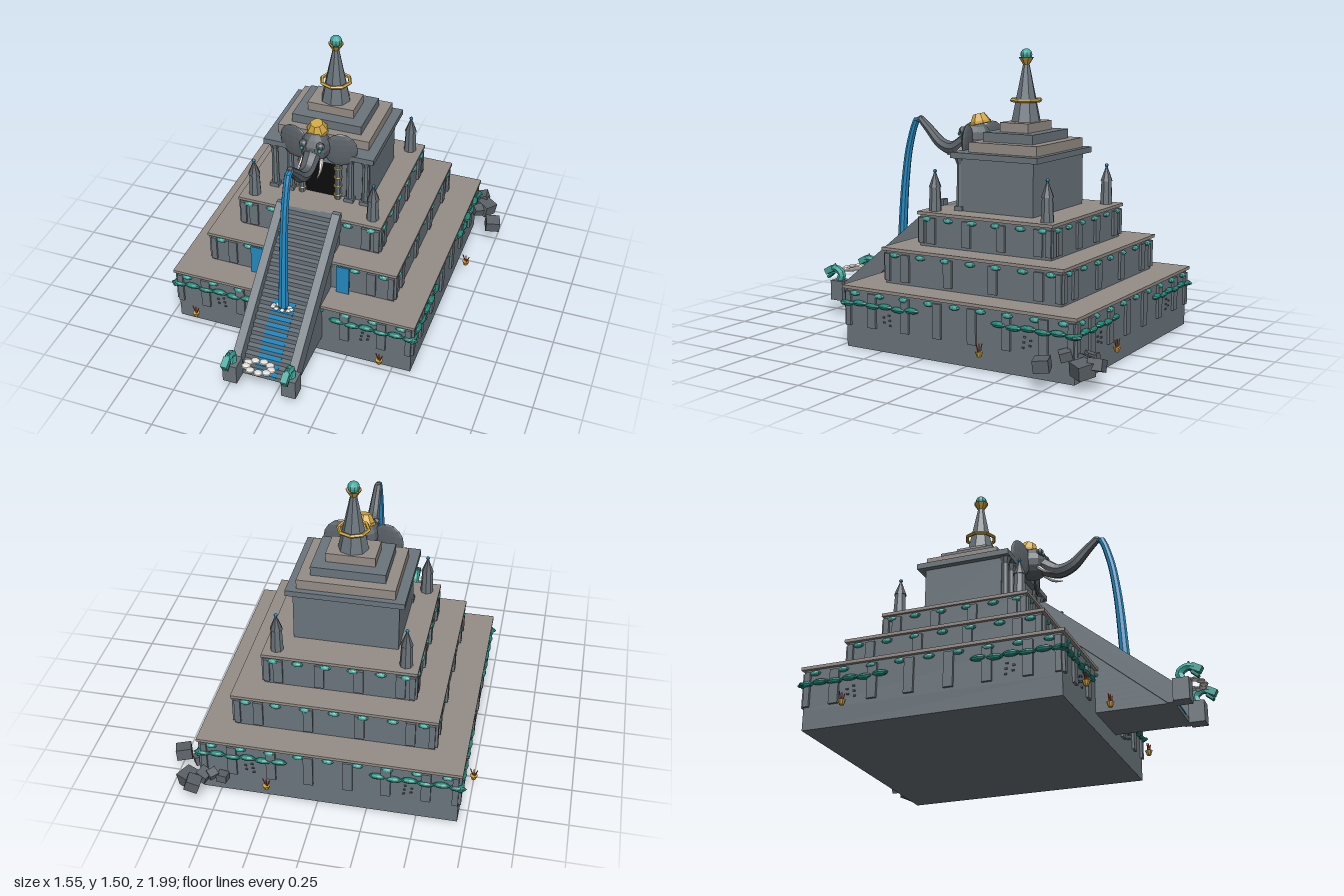
import * as THREE from 'three';

const mat = (name, color, side = THREE.FrontSide) => {
  const m = new THREE.MeshStandardMaterial({ color, side });
  m.name = name;
  return m;
};

export function createModel() {
  const stone = mat('stone', 0x6b757c), sand = mat('weathered top', 0x968d86);
  const dark = mat('dark stone', 0x5b6268), water = mat('water', 0x2389c0);
  const gold = mat('gold', 0xd2a640, THREE.DoubleSide), teal = mat('lotus teal', 0x3fa59b);
  const vine = mat('vine green', 0x1f8577), white = mat('foam and ivory', 0xeeeae4);
  const black = mat('doorway black', 0x0c0c0c), red = mat('incense red', 0xb8452c);

  const model = new THREE.Group();
  model.name = 'terracedTemple';
  const CX = -0.055, CZ = -0.185;

  // Faceted mesh helper
  const add = (name, geo, m, x, y, z, parent = model) => {
    const g = geo.index ? geo.toNonIndexed() : geo;
    g.computeVertexNormals();
    const mesh = new THREE.Mesh(g, m);
    mesh.name = name;
    mesh.position.set(x, y, z);
    parent.add(mesh);
    return mesh;
  };
  const box = (name, w, h, d, m, x, y, z, parent) => add(name, new THREE.BoxGeometry(w, h, d), m, x, y, z, parent);
  const slab = (name, w, d, y0, y1, m, x = CX, z = CZ, parent = model) =>
    box(name, w, y1 - y0, d, m, x, (y0 + y1) / 2, z, parent);
  const cyl = (name, rt, rb, y0, y1, n, m, x, z, parent) =>
    add(name, new THREE.CylinderGeometry(rt, rb, y1 - y0, n), m, x, (y0 + y1) / 2, z, parent);
  const blob = (name, rx, ry, rz, m, x, y, z, parent, w = 8, h = 6) =>
    add(name, new THREE.SphereGeometry(1, w, h).scale(rx, ry, rz), m, x, y, z, parent);
  const ring = (name, r, t, n, m, x, y, z) =>
    add(name, new THREE.TorusGeometry(r, t, 5, n).rotateX(Math.PI / 2), m, x, y, z);
  // Tube with a radius that runs from r0 to r1
  const taperTube = (name, pts, r0, r1, seg, sides, m, parent) => {
    const curve = new THREE.CatmullRomCurve3(pts.map(p => new THREE.Vector3(...p)));
    const g = new THREE.TubeGeometry(curve, seg, 1, sides);
    const p = g.attributes.position, v = new THREE.Vector3();
    for (let i = 0; i < p.count; i++) {
      const t = Math.floor(i / (sides + 1)) / seg, c = curve.getPointAt(t);
      v.fromBufferAttribute(p, i).sub(c).multiplyScalar(r0 + (r1 - r0) * t).add(c);
      p.setXYZ(i, v.x, v.y, v.z);
    }
    const mesh = add(name, g, m, 0, 0, 0, parent);
    for (const [q, r] of [[pts[0], r0], [pts[pts.length - 1], r1]])
      blob(name + 'End', r, r, r, m, ...q, parent, sides, 4);
    return mesh;
  };

  // Plinth and three terraces, with pilasters, lotuses and vines on all four sides
  slab('plinth', 1.302, 1.302, 0, 0.1, stone);
  const tiers = [
    { y0: 0.1, y1: 0.32, half: 0.651, top: 0.668, posts: [0.1, 0.29, 0.49, 0.635], lotus: [0, 0.148, 0.296, 0.445, 0.595] },
    { y0: 0.32, y1: 0.505, half: 0.507, top: 0.523, posts: [0.13, 0.385, 0.492], lotus: [0, 0.145, 0.295, 0.45] },
    { y0: 0.505, y1: 0.683, half: 0.38, top: 0.393, posts: [0.1, 0.31, 0.368], lotus: [0.07, 0.21, 0.335] },
  ];
  tiers.forEach((t, i) => {
    slab('terrace' + i, 2 * t.half, 2 * t.half, t.y0, t.y1 - 0.016, stone);
    slab('terraceTop' + i, 2 * t.top, 2 * t.top, t.y1 - 0.016, t.y1, sand);
    for (let s = 0; s < 4; s++) {
      const face = new THREE.Group();
      face.name = `terraceSide${i}_${s}`;
      face.position.set(CX, 0, CZ);
      face.rotation.y = s * Math.PI / 2;
      model.add(face);
      for (const sx of [-1, 1]) {
        for (const o of t.posts) slab('pilaster', o > t.half - 0.03 ? 0.03 : 0.048, 0.02, t.y0 + 0.015, t.y1 - 0.03, stone, sx * o, t.half + 0.003, face);
        for (const o of t.lotus) if (o || sx > 0) blob('lotus', 0.03, 0.013, 0.014, teal, sx * o, t.y1 - 0.037, t.half + 0.006, face);
        if (i === 0) for (let k = 0; k < 6; k++)
          blob('vine', 0.044, 0.015, 0.018, vine, sx * (0.25 + k * 0.079), 0.235 - (k % 2) * 0.006, t.half + 0.008, face);
        // Chips in the lower wall
        if (i === 0) for (let k = 0; k < 5; k++)
          box('chip', 0.012, 0.008, 0.008, dark, sx * (0.38 + (k * 0.037) % 0.07), 0.14 + k * 0.013, t.half + 0.002, face);
      }
    }
  });
  for (const s of [-1, 1]) box('waterBanner', 0.07, 0.17, 0.009, water, CX + s * 0.237, 0.407, 0.348);

  // Shrine and stepped roof
  slab('shrine', 0.535, 0.42, 0.683, 0.955, stone, CX, -0.19);
  slab('shrineCornice', 0.597, 0.503, 0.955, 0.985, stone);
  slab('roofStep', 0.495, 0.393, 0.985, 1.036, sand, CX, -0.21);
  slab('roofStep', 0.378, 0.29, 1.036, 1.084, stone, CX, -0.207);
  slab('roofStep', 0.25, 0.165, 1.084, 1.132, sand, CX, -0.207);
  box('doorway', 0.162, 0.212, 0.009, black, CX, 0.789, 0.023);
  box('lintel', 0.25, 0.045, 0.03, stone, CX, 0.92, 0.03);
  for (const s of [-1, 1]) {
    cyl('doorColumn', 0.018, 0.018, 0.683, 0.9, 8, stone, CX + s * 0.1, 0.038);
    for (const y of [0.71, 0.765, 0.82, 0.875]) ring('columnBand', 0.019, 0.005, 8, gold, CX + s * 0.1, y, 0.038);
    for (const o of [0.165, 0.25]) {
      cyl('shrineColumn', 0.018, 0.021, 0.683, 0.92, 8, stone, CX + s * o, 0.035);
      cyl('columnCapital', 0.032, 0.018, 0.92, 0.955, 8, stone, CX + s * o, 0.035);
      slab('columnBase', 0.05, 0.05, 0.683, 0.705, stone, CX + s * o, 0.035);
    }
  }

  // Spire
  cyl('spire', 0.014, 0.078, 1.132, 1.44, 8, stone, CX, -0.207);
  ring('spireRing', 0.077, 0.01, 8, gold, CX, 1.241, -0.207);
  add('spireCrown', new THREE.CylinderGeometry(0.04, 0.012, 0.045, 8, 1, true), gold, CX, 1.437, -0.207);
  blob('spireOrb', 0.031, 0.031, 0.031, teal, CX, 1.473, -0.207, model, 10, 8);

  // Corner turrets
  for (const sx of [-1, 1]) for (const z of [-0.512, 0.14]) {
    const x = CX + sx * 0.326;
    cyl('turret', 0.028, 0.034, 0.683, 0.805, 8, stone, x, z);
    cyl('turretCap', 0.005, 0.033, 0.805, 0.88, 8, dark, x, z);
    blob('turretOrb', 0.01, 0.01, 0.01, water, x, 0.887, z);
  }

  // Stairway with sloping rails
  const N = 22, rise = (0.683 - 0.09) / N;
  for (let i = 0; i < N; i++) {
    const front = 0.85 - 0.63 * i / (N - 1), y = 0.09 + i * rise;
    slab('step', 0.33, front - 0.15, y, y + rise, stone, CX, (front + 0.15) / 2);
    if (i < 10) box('wetStep', 0.12, 0.009, 0.03, water, CX, y + rise - 0.003, front - 0.0125);
  }
  for (const s of [-1, 1]) {
    const side = new THREE.Shape([[0.19, 0.715], [0.215, 0.715], [0.86, 0.185], [0.86, 0.09], [0.82, 0.09], [0.19, 0.62]].map(p => new THREE.Vector2(...p)));
    const g = new THREE.ExtrudeGeometry(side, { depth: 0.044, bevelEnabled: false }).translate(0, 0, -0.022).rotateY(-Math.PI / 2);
    add('stairRail', g, stone, CX + s * 0.152, 0, 0);
    const x = CX + s * 0.158;
    slab('stairPost', 0.076, 0.08, 0.09, 0.2, stone, x, 0.89);
    // Serpent guardian on the post
    taperTube('guardianBody', [[x, 0.2, 0.89], [x, 0.235, 0.88], [x, 0.262, 0.915], [x, 0.255, 0.95]], 0.024, 0.018, 8, 6, teal);
    box('guardianHead', 0.034, 0.034, 0.055, teal, x, 0.25, 0.962).rotation.x = 0.5;
    box('guardianJaw', 0.028, 0.014, 0.045, vine, x, 0.222, 0.955).rotation.x = 0.7;
    cyl('guardianCrest', 0.002, 0.016, 0.265, 0.292, 5, teal, x, 0.925);
  }

  // Elephant head spouting water
  const elephant = new THREE.Group();
  elephant.name = 'elephantHead';
  elephant.position.x = CX;
  model.add(elephant);
  blob('head', 0.078, 0.088, 0.085, dark, 0, 1.03, 0.095, elephant, 10, 8);
  taperTube('trunk', [[0, 1.01, 0.15], [0, 0.965, 0.235], [0, 0.985, 0.31], [0, 1.06, 0.39], [0, 1.112, 0.445]], 0.046, 0.02, 14, 8, dark, elephant);
  for (const s of [-1, 1]) {
    blob('ear', 0.088, 0.096, 0.016, dark, s * 0.125, 1.015, 0.07, elephant, 12, 8).rotation.y = s * 0.25;
    blob('brow', 0.024, 0.02, 0.02, dark, s * 0.045, 1.07, 0.15, elephant);
    blob('eye', 0.011, 0.011, 0.008, teal, s * 0.048, 1.052, 0.169, elephant);
    taperTube('tusk', [[s * 0.05, 0.98, 0.145], [s * 0.058, 0.945, 0.19], [s * 0.06, 0.938, 0.235]], 0.012, 0.003, 6, 6, white, elephant);
  }
  const crown = new THREE.Group();
  crown.name = 'crown';
  crown.position.set(0, 1.123, 0.07);
  crown.rotation.x = 0.25;
  elephant.add(crown);
  cyl('crownBand', 0.058, 0.058, -0.02, -0.005, 8, gold, 0, 0, crown);
  cyl('crownTop', 0.032, 0.054, -0.005, 0.035, 8, gold, 0, 0, crown);
  taperTube('waterJet', [[0, 1.11, 0.44], [0, 1.115, 0.465], [0, 0.985, 0.515], [0, 0.77, 0.55], [0, 0.36, 0.58]], 0.018, 0.027, 20, 8, water, elephant);

  // Foam rings
  for (let i = 0; i < 9; i++) {
    const a = i / 9 * Math.PI * 2, c = Math.cos(a), s = Math.sin(a);
    blob('splashFoam', 0.015, 0.008, 0.012, white, CX + c * 0.05, 0.357, 0.6 + s * 0.018);
    blob('poolFoam', 0.025, 0.01, 0.022, white, CX + c * 0.066, 0.236, 0.918 + s * 0.04);
  }

  // Incense bowls
  for (const [x, z] of [[-0.58, 0.535], [-0.287, 0.56], [0.45, 0.545], [0.665, -0.365], [-0.755, -0.605], [0.25, -0.885]]) {
    cyl('incenseBowl', 0.02, 0.011, 0.083, 0.108, 8, gold, x, z);
    for (const k of [-1, 0, 1]) {
      const stick = cyl('incenseStick', 0.003, 0.003, 0.1, 0.146, 5, red, x + k * 0.011, z + k * 0.004);
      stick.rotation.z = -k * 0.35;
    }
  }

  // Fallen blocks at the back corner
  [[0.61, 0.12, -0.955, 0.07], [0.645, 0.1, -0.9, 0.085], [0.725, 0.118, -0.735, 0.075], [0.575, 0.12, -0.885, 0.06],
    [0.62, 0.145, -0.8, 0.055], [0.48, 0.11, -0.87, 0.05], [0.53, 0.13, -0.88, 0.045]].forEach(([x, y, z, s], i) => {
    box('fallenBlock', s, s * 0.8, s * 1.05, dark, x, y, z).rotation.set(0.3 * Math.sin(i * 2), i * 0.9 + 0.1, 0.35 * Math.cos(i * 3));
  });

  return model;
}
